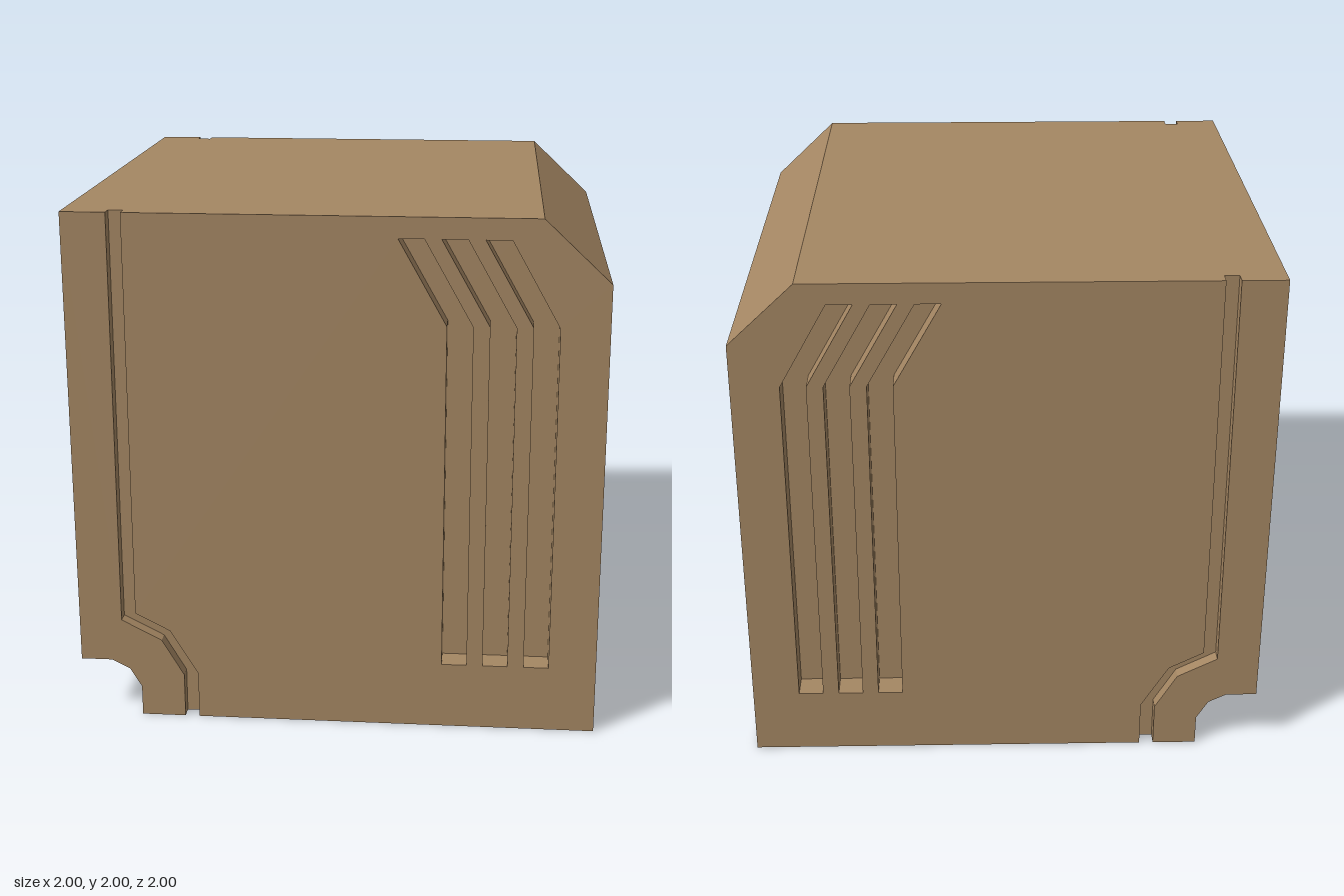
import * as THREE from 'three';

const shell = new THREE.MeshStandardMaterial({ color: 0xa58763, flatShading: true });
const glass = new THREE.MeshStandardMaterial({ color: 0x222d33 });
const red = new THREE.MeshStandardMaterial({ color: 0x7a2028 });

const toPoints = (list) => list.map(([x, y]) => new THREE.Vector2(x, y));

// Side silhouette: rear chamfer at +x, foot recess at the bottom of the screen side
const notch = [[-1, 0.23], [-0.88, 0.23], [-0.81, 0.195], [-0.765, 0.12], [-0.765, 0]];
const back = [[1, 0], [1, 1.765], [0.75, 2]];
const outerRecess = [[-1, 1.88], [-0.93, 1.88], [-0.93, 0.35], [-1, 0.35]];
const steppedRecess = [[-1, 1.88], [-0.93, 1.88], [-0.93, 1.84], [-0.81, 1.84],
  [-0.81, 0.39], [-0.93, 0.39], [-0.93, 0.35], [-1, 0.35]];
const silhouette = (recess = []) => [...back, [-1, 2], ...recess, ...notch];

// Seam groove borders, top to bottom
const seamFront = [[-0.83, 2], [-0.835, 0.4], [-0.68, 0.32], [-0.595, 0.175], [-0.595, 0]];
const seamBack = [[-0.775, 2], [-0.78, 0.43], [-0.645, 0.36], [-0.54, 0.185], [-0.54, 0]];

// Three bent vent slots
const vents = [0, 1, 2].map((i) => {
  const d = i * 0.157;
  return [[0.23 + d, 1.92], [0.41 + d, 1.6], [0.41 + d, 0.26],
    [0.505 + d, 0.26], [0.505 + d, 1.6], [0.325 + d, 1.92]];
});

function slab(group, name, outline, z0, z1, holes = []) {
  const shape = new THREE.Shape(toPoints(outline));
  shape.holes = holes.map((h) => new THREE.Path(toPoints(h)));
  const geo = new THREE.ExtrudeGeometry(shape, { depth: z1 - z0, bevelEnabled: false });
  geo.translate(0, 0, z0);
  const mesh = new THREE.Mesh(geo, shell);
  mesh.name = name;
  group.add(mesh);
}

function box(group, name, material, x0, x1, y0, y1, z0, z1) {
  const mesh = new THREE.Mesh(new THREE.BoxGeometry(x1 - x0, y1 - y0, z1 - z0), material);
  mesh.position.set((x0 + x1) / 2, (y0 + y1) / 2, (z0 + z1) / 2);
  mesh.name = name;
  group.add(mesh);
}

export function createModel() {
  const model = new THREE.Group();
  model.name = 'monitor';

  // Housing core with the stepped screen recess
  slab(model, 'housingCore', silhouette(steppedRecess), -0.82, 0.82);

  // Layers repeated on both sides, from the inside out
  for (const side of [1, -1]) {
    const layer = (name, outline, a, b, holes) =>
      slab(model, name, outline, side > 0 ? a : -b, side > 0 ? b : -a, holes);
    layer('bezelStep', silhouette(outerRecess), 0.82, 0.86);
    layer('sideWall', silhouette(), 0.86, 0.9);
    layer('ventLayer', silhouette(), 0.9, 0.95, vents);
    // Outer skin is split by the seam groove
    layer('bezelSkin', [...seamFront, ...[...notch].reverse(), [-1, 2]], 0.95, 1);
    layer('rearSkin', [...seamBack, ...back], 0.95, 1, vents);
  }

  // Screen at the bottom of the recess, power button under the bezel
  box(model, 'screen', glass, -0.84, -0.808, 0.39, 1.84, -0.82, 0.82);
  box(model, 'powerButton', red, -0.81, -0.75, 0.04, 0.13, 0.6, 0.81);

  return model;
}
